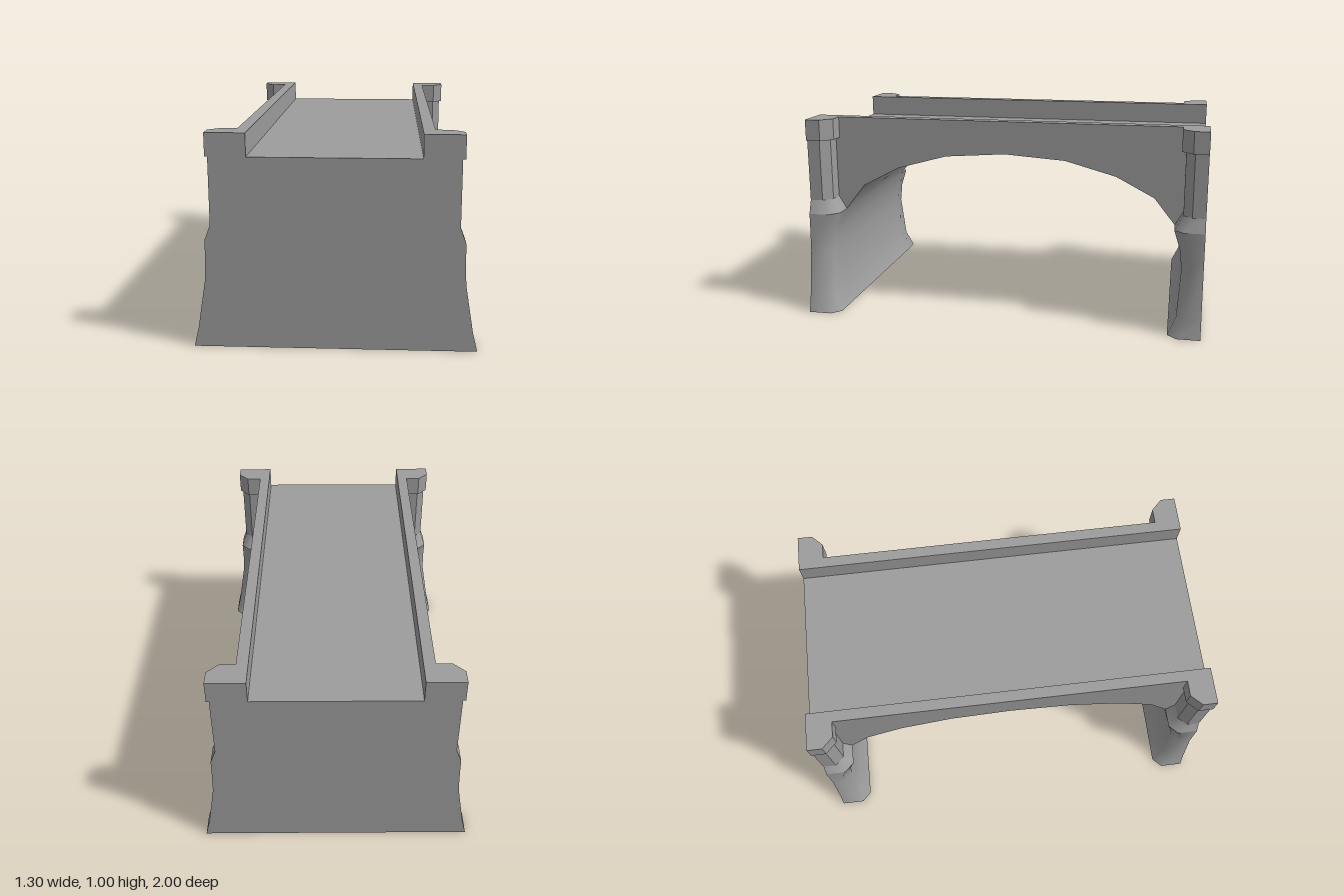
import * as THREE from 'three';
import { mergeGeometries, toCreasedNormals } from 'three/addons/utils/BufferGeometryUtils.js';

const DECK_Y = 0.893, WALL_X = 0.443, SPRING_Y = 0.513, SPRING_Z = 0.853;
const CREASE = 0.85;

// Loft rings of [x, y, z] points, listed counter-clockwise seen from above, bottom ring first.
function loft(rings, capBottom, capTop) {
  const out = [], n = rings[0].length;
  const tri = (a, b, c) => out.push(...a, ...b, ...c);
  for (let r = 0; r + 1 < rings.length; r++) {
    const lo = rings[r], hi = rings[r + 1];
    for (let i = 0; i < n; i++) {
      const j = (i + 1) % n;
      tri(lo[i], lo[j], hi[j]);
      tri(lo[i], hi[j], hi[i]);
    }
  }
  const bottom = rings[0], top = rings[rings.length - 1];
  for (let i = 1; i < n - 1; i++) {
    if (capBottom) tri(bottom[0], bottom[i + 1], bottom[i]);
    if (capTop) tri(top[0], top[i], top[i + 1]);
  }
  const g = new THREE.BufferGeometry();
  g.setAttribute('position', new THREE.Float32BufferAttribute(out, 3));
  return g;
}

// Full-width pier outline: half width w, inner face at d, chamfer c
function pierRing([y, w, d, c], sz) {
  const ring = [[-w, 1], [w, 1], [w, d + c], [w - c, d], [WALL_X, d],
    [-WALL_X, d], [c - w, d], [-w, d + c]].map(([x, z]) => [x, y, z * sz]);
  return sz < 0 ? ring.reverse() : ring;
}

// Outline of one corner post standing outside the side wall
function postRing([y, w, d, c], sx, sz) {
  const ring = [[WALL_X, 1], [w, 1], [w, d + c], [w - c, d], [WALL_X, d]]
    .map(([x, z]) => [x * sx, y, z * sz]);
  return sx * sz < 0 ? ring.reverse() : ring;
}

// Arched span between the piers, up to deck level
function spanGeometry() {
  const half = [[SPRING_Z, SPRING_Y], [0.75, 0.643], [0.56, 0.743], [0.305, 0.813]];
  const points = [[1, DECK_Y], [-1, DECK_Y], [-1, SPRING_Y],
    ...half.map(([z, y]) => [-z, y]), [0, 0.835],
    ...half.slice().reverse(), [1, SPRING_Y]];
  const shape = new THREE.Shape(points.map(([z, y]) => new THREE.Vector2(z, y)));
  let g = new THREE.ExtrudeGeometry(shape, { depth: 2 * WALL_X, bevelEnabled: false });
  g.rotateY(-Math.PI / 2).translate(WALL_X, 0, 0);
  if (g.index) g = g.toNonIndexed();
  g.deleteAttribute('uv');
  g.deleteAttribute('normal');
  return g;
}

export function createModel() {
  const group = new THREE.Group();
  const material = new THREE.MeshStandardMaterial({ color: 0x9c9c9c });
  const add = (name, geometry) => {
    const mesh = new THREE.Mesh(geometry, material);
    mesh.name = name;
    group.add(mesh);
  };

  // Flared piers and arch share one smooth soffit
  const pierLevels = [[0, 0.65, 0.84, 0.045], [0.09, 0.628, 0.88, 0.045],
    [0.32, 0.59, 0.895, 0.045], [0.42, 0.586, 0.883, 0.045],
    [SPRING_Y, 0.584, SPRING_Z, 0.045]];
  const piers = [1, -1].map((sz) => loft(pierLevels.map((l) => pierRing(l, sz)), true, false));
  add('archAndPiers', toCreasedNormals(mergeGeometries([spanGeometry(), ...piers]), CREASE));

  // Low walls along both sides of the deck
  for (const sx of [1, -1]) {
    const wall = new THREE.BoxGeometry(WALL_X - 0.388, 1 - DECK_Y, 2);
    wall.translate(sx * (WALL_X + 0.388) / 2, (1 + DECK_Y) / 2, 0);
    add(sx > 0 ? 'leftParapet' : 'rightParapet', wall);
  }

  // Corner posts: smooth sloped shoulder, faceted shaft and overhanging cap
  const shaft = [0.558, 0.893, 0.042], cap = [0.571, 0.873, 0.053];
  const parts = {
    Shoulder: [pierLevels[4], [0.582, ...shaft]],
    Shaft: [[0.582, ...shaft], [DECK_Y, ...shaft]],
    Cap: [[DECK_Y, ...cap], [1, ...cap]],
  };
  for (const sx of [1, -1]) for (const sz of [1, -1]) {
    const corner = (sz > 0 ? 'front' : 'back') + (sx > 0 ? 'Left' : 'Right');
    for (const [name, levels] of Object.entries(parts)) {
      const g = loft(levels.map((l) => postRing(l, sx, sz)), name === 'Cap', name === 'Cap');
      add(corner + name, toCreasedNormals(g, name === 'Shoulder' ? CREASE : 0.3));
    }
  }
  return group;
}
